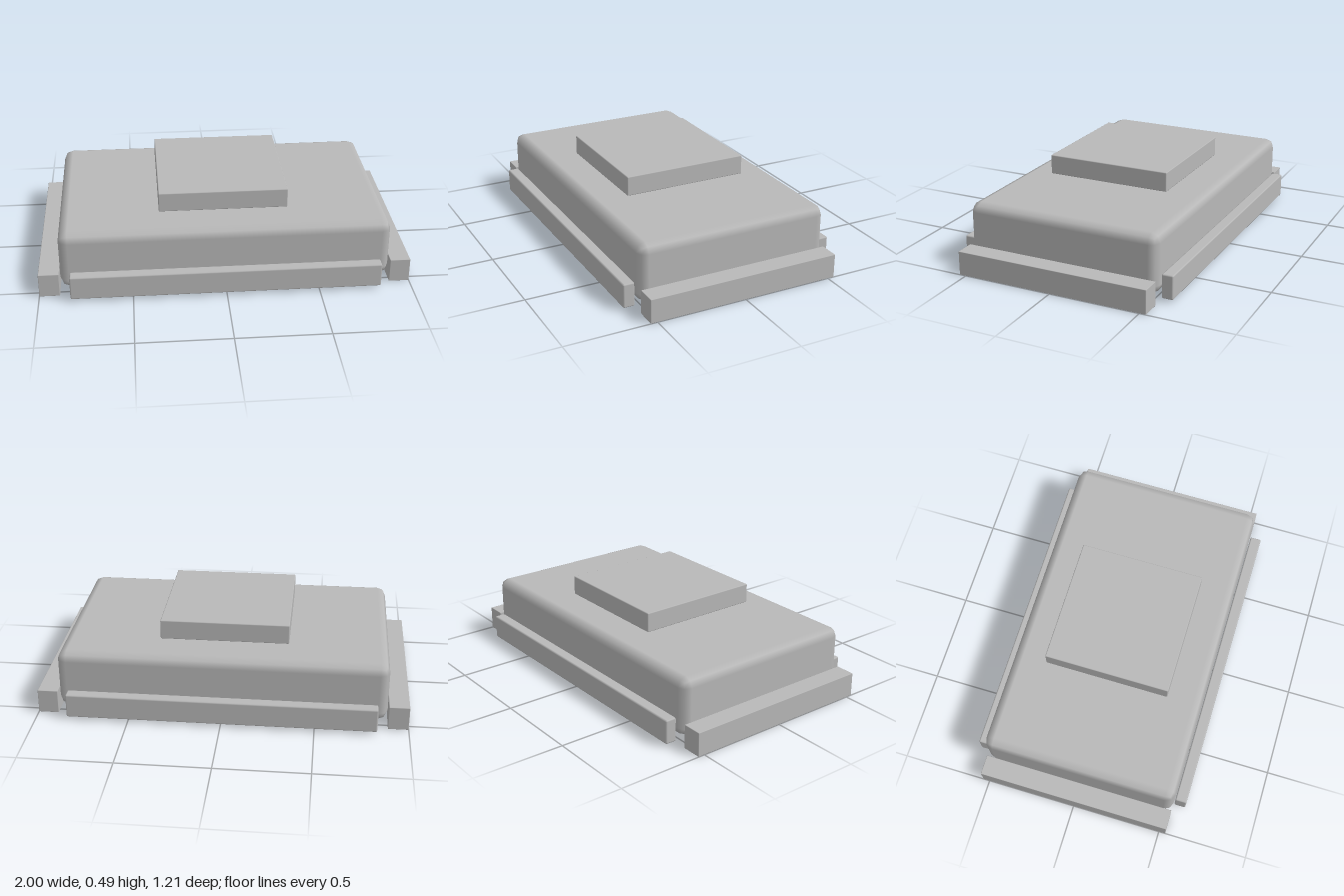
import * as THREE from 'three';
import { RoundedBoxGeometry } from 'three/addons/geometries/RoundedBoxGeometry.js';

export function createModel() {
  const model = new THREE.Group();
  const grey = new THREE.MeshStandardMaterial({ color: 0xb8b8b8 });
  grey.name = 'grey';

  // Bevelled box whose underside sits at y
  function box(name, [w, h, d], [x, y, z], bevel) {
    const mesh = new THREE.Mesh(new RoundedBoxGeometry(w, h, d, 1, bevel), grey);
    mesh.name = name;
    mesh.position.set(x, y + h / 2, z);
    model.add(mesh);
  }

  // Main block with softly bevelled edges
  box('body', [1.77, 0.322, 1.076], [0, 0.04, 0], 0.05);

  // Square slab floating above the body
  box('topSlab', [0.696, 0.108, 0.696], [0, 0.383, 0], 0.005);

  // Rails along the four sides
  for (const s of [1, -1]) {
    box(s > 0 ? 'leftRail' : 'rightRail', [0.11, 0.132, 1.074], [s * 0.945, 0, 0], 0.003);
    box(s > 0 ? 'frontRail' : 'backRail', [1.664, 0.132, 0.063], [0, 0.016, s * 0.573], 0.008);
  }
  return model;
}
